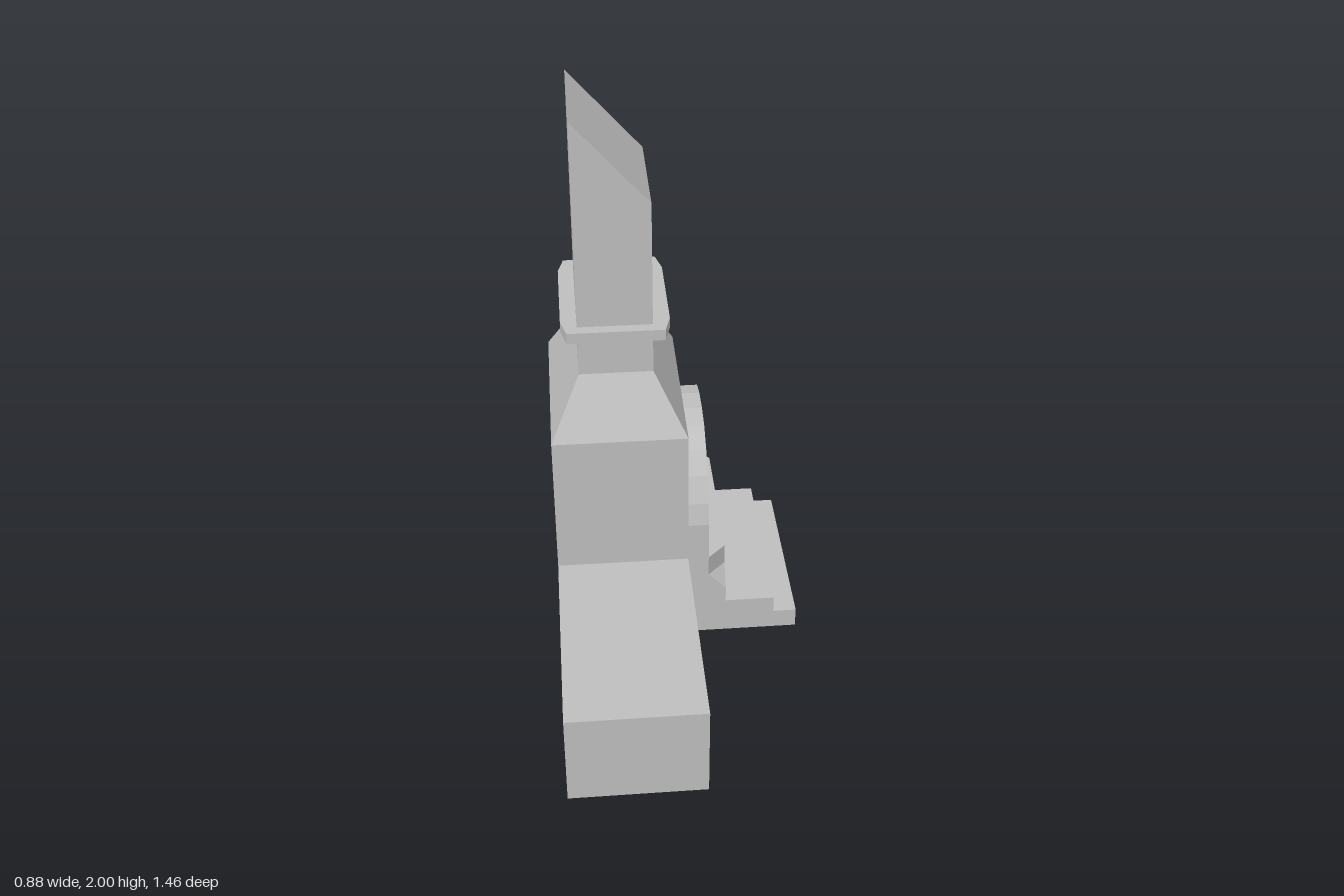
import * as THREE from 'three';
import { ConvexGeometry } from 'three/addons/geometries/ConvexGeometry.js';

export function createModel() {
  const model = new THREE.Group();
  model.name = 'outdoorOven';
  const plaster = new THREE.MeshStandardMaterial({ color: 0xbebebe });
  plaster.name = 'grey plaster';

  const add = (name, geometry) => {
    const mesh = new THREE.Mesh(geometry, plaster);
    mesh.name = name;
    model.add(mesh);
    return mesh;
  };
  // Box given by its limits on each axis
  const box = (name, x0, x1, y0, y1, z0, z1) =>
    add(name, new THREE.BoxGeometry(x1 - x0, y1 - y0, z1 - z0)
      .translate((x0 + x1) / 2, (y0 + y1) / 2, (z0 + z1) / 2));
  const convex = (name, pts) =>
    add(name, new ConvexGeometry(pts.map((p) => new THREE.Vector3(...p))));
  const toShape = (pts) => new THREE.Shape(pts.map((p) => new THREE.Vector2(...p)));
  // Outline in (-z, y), extruded along x from x0 to x1
  const slab = (name, x0, x1, outline, hole) => {
    const shape = toShape(outline);
    if (hole) shape.holes.push(toShape(hole));
    const g = new THREE.ExtrudeGeometry(shape, { depth: x1 - x0, bevelEnabled: false });
    return add(name, g.rotateY(Math.PI / 2).translate(x0, 0, 0));
  };
  // Mirror half an outline about the middle of the oven
  const mid = 0.39, near = 0.05, far = 0.73;
  const mirrored = (half) => [
    ...half.map(([u, y]) => [mid + u, y]),
    ...half.slice().reverse().map(([u, y]) => [mid - u, y]),
  ];
  // Four corners of a horizontal rectangle
  const ring = (x0, x1, z0, z1, yLeft, yRight) => [
    [x0, yLeft, z0], [x0, yLeft, z1], [x1, yRight, z0], [x1, yRight, z1],
  ];

  // Oven body with a firebox
  const mouth = mirrored([[0.225, 0.35], [0.225, 0.505], [0.19, 0.572], [0.14, 0.617], [0.07, 0.633]]);
  slab('ovenBody', -0.3, 0.03, [[near, 0], [far, 0], [far, 0.88], [near, 0.88]], mouth);
  box('ovenBack', -0.44, -0.3, 0, 0.88, -far, -near);

  // Hood and slant-cut chimney
  convex('hood', [
    ...ring(-0.44, 0.03, -far, -near, 0.88, 0.88),
    ...ring(-0.335, -0.08, -0.605, -0.17, 1.085, 1.085),
  ]);
  convex('chimney', [
    ...ring(-0.335, -0.08, -0.605, -0.17, 1.085, 1.085),
    ...ring(-0.335, -0.08, -0.605, -0.17, 2, 1.715),
  ]);

  // Eight-sided collar
  const collar = new THREE.ExtrudeGeometry(toShape([
    [-0.37, 0.13], [-0.04, 0.13], [-0.02, 0.21], [-0.02, 0.565],
    [-0.04, 0.645], [-0.37, 0.645], [-0.39, 0.565], [-0.39, 0.21],
  ]), { depth: 0.04, bevelEnabled: false });
  add('chimneyCollar', collar.rotateX(-Math.PI / 2).translate(0, 1.23, 0));

  // Arch around the mouth
  const outer = mirrored([[0.34, 0.35], [0.34, 0.5], [0.32, 0.58], [0.275, 0.67], [0.21, 0.74], [0.135, 0.79], [0.05, 0.81]]);
  const inner = mirrored([[0.275, 0.35], [0.275, 0.49], [0.26, 0.57], [0.225, 0.645], [0.17, 0.71], [0.11, 0.75], [0.045, 0.768]]);
  slab('mouthArch', 0.03, 0.105, [...outer, ...inner.reverse()]);

  // Hearth ledge with a notch under it
  const notch = [[0.275, 0.14], [0.275, 0.205], [0.34, 0.27], [0.44, 0.27], [0.505, 0.205], [0.505, 0.14]];
  const ledge = (a, b) => [[a, 0.14], ...notch, [b, 0.14], [b, 0.35], [a, 0.35]];
  slab('hearthBack', 0.03, 0.105, ledge(near, far));
  slab('hearthFront', 0.105, 0.17, ledge(0.115, 0.665));

  // Cut corners of the ledge
  for (const [edge, inside] of [[-near, -0.115], [-far, -0.665]]) {
    const triangle = (y) => [[0.105, y, edge], [0.105, y, inside], [0.17, y, inside]];
    convex('hearthCornerTop', [...triangle(0.27), ...triangle(0.35)]);
    convex('hearthCornerBase', [...triangle(0.14), ...triangle(0.27), [0.17, 0.14, edge], [0.17, 0.2, edge]]);
  }

  // Steps
  box('upperStep', 0.03, 0.35, 0, 0.14, -far, -near);
  box('lowerStep', 0.35, 0.435, 0, 0.075, -far, -near);

  // Bench with an open recess
  box('benchBack', -0.44, -0.165, 0, 0.35, -near, 0.73);
  box('benchTop', -0.165, 0.03, 0.27, 0.35, -near, 0.73);
  box('benchEnd', -0.165, 0.03, 0, 0.27, 0.67, 0.73);

  return model;
}
